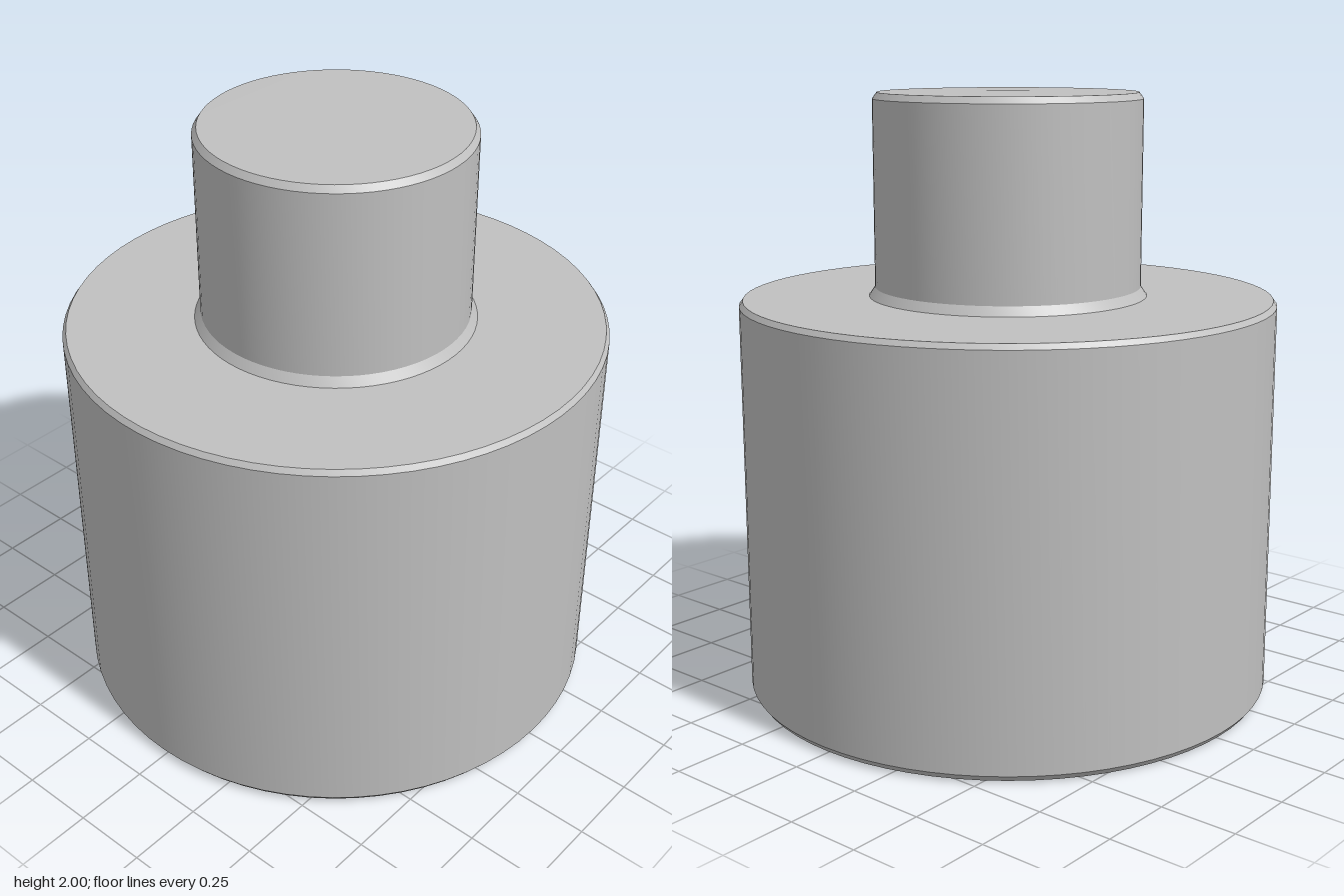
import * as THREE from 'three';
import { toCreasedNormals } from 'three/addons/utils/BufferGeometryUtils.js';

export function createModel() {
  const group = new THREE.Group();
  const grey = new THREE.MeshStandardMaterial({ color: 0xc0c0c0 });
  grey.name = 'plain grey';

  // Revolve a profile of [radius, height] points, keeping its edges crisp
  const turned = (name, profile) => {
    const points = profile.map(([r, y]) => new THREE.Vector2(r, y));
    const geometry = toCreasedNormals(new THREE.LatheGeometry(points, 72), 0.5);
    const mesh = new THREE.Mesh(geometry, grey);
    mesh.name = name;
    group.add(mesh);
  };

  const bore = 0.57, outer = 0.885, neck = 0.44;
  const shoulder = 1.335, boreTop = 1.0;

  // Blind hole opening at the bottom
  turned('bore', [[0, boreTop], [bore, boreTop], [bore, 0.015], [bore + 0.01, 0]]);

  // Wide body: bottom ring, outer wall and shoulder, with softened rims
  turned('body', [
    [bore + 0.01, 0], [outer - 0.015, 0.005], [outer, 0.025],
    [outer, shoulder - 0.02], [outer - 0.012, shoulder - 0.003], [neck + 0.02, shoulder],
  ]);

  // Narrow solid neck with a small fillet at its foot
  turned('neck', [
    [neck + 0.02, shoulder], [neck, shoulder + 0.03],
    [neck, 1.975], [neck - 0.015, 1.996], [0, 2],
  ]);

  return group;
}
